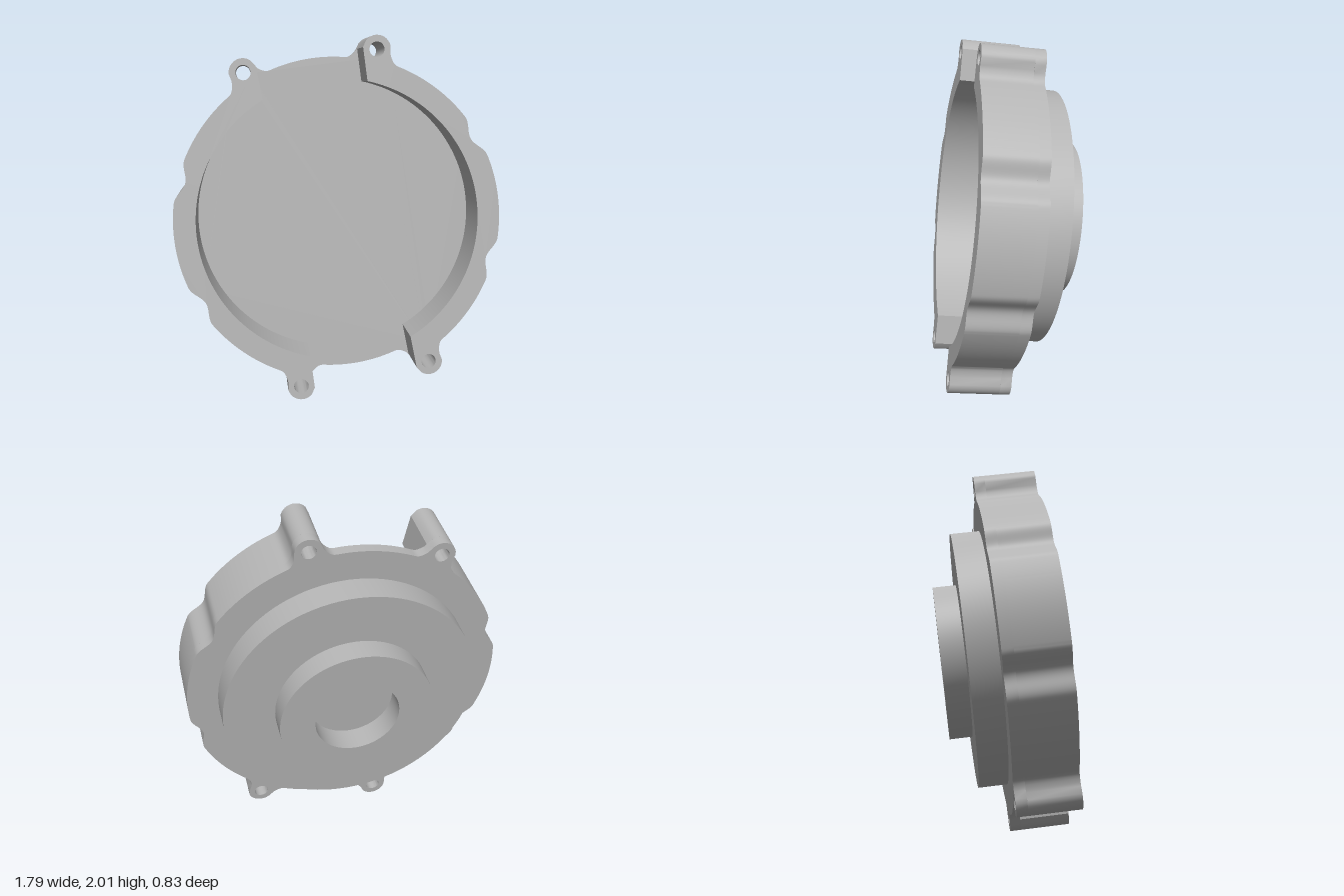
import * as THREE from 'three';
import { toCreasedNormals } from 'three/addons/utils/BufferGeometryUtils.js';

const RAD = Math.PI / 180;
const R = 0.885, INNER = 0.765;            // housing radii
const LUG_R = 0.94, LUG = 0.075, BORE = 0.04; // screw lugs
const FLOOR = 0.06, DEPTH = 0.34;
const lugs = [77, 122, 257, 302];
const notches = [31, 165, 211, 345];
const LUG_HALF = Math.asin(LUG / LUG_R) / RAD;

const gap = (a, b) => Math.abs(((a - b + 540) % 360 + 360) % 360 - 180);
const polar = (r, deg) => new THREE.Vector2(r * Math.cos(deg * RAD), r * Math.sin(deg * RAD));

// Outer outline: a circle with filleted lugs and shallow scallops
function outline(deg) {
  for (const l of lugs) {
    const d = gap(deg, l), s = LUG_R * Math.sin(d * RAD);
    if (d < LUG_HALF) return LUG_R * Math.cos(d * RAD) + Math.sqrt(Math.max(0, LUG * LUG - s * s));
    if (d < LUG_HALF + 4) return R + (LUG_R - 0.003 - R) * Math.pow(1 - (d - LUG_HALF) / 4, 2.2);
  }
  for (const n of notches) {
    const d = gap(deg, n);
    if (d < 8) return R - 0.042 * Math.cos(d / 8 * Math.PI / 2) ** 2;
  }
  return R;
}

function arc(radius, from, to, steps) {
  const pts = [];
  for (let i = 0; i <= steps; i++) {
    const a = from + (to - from) * i / steps;
    pts.push(polar(radius(a), a));
  }
  return pts;
}

function extrude(points, lugAngles, z, depth) {
  const shape = new THREE.Shape(points);
  for (const a of lugAngles) {
    const c = polar(LUG_R, a);
    shape.holes.push(new THREE.Path().absarc(c.x, c.y, BORE, 0, Math.PI * 2, true));
  }
  const geo = new THREE.ExtrudeGeometry(shape, { depth, bevelEnabled: false, curveSegments: 16 });
  geo.translate(0, 0, z);
  return toCreasedNormals(geo, 0.5);
}

export function createModel() {
  const metal = new THREE.MeshStandardMaterial({ color: 0xb4b4b4 });
  metal.name = 'grey metal';
  const model = new THREE.Group();
  model.name = 'housingCover';
  const add = (name, geo) => {
    const mesh = new THREE.Mesh(geo, metal);
    mesh.name = name;
    model.add(mesh);
    return mesh;
  };

  // Thin floor plate with all four lugs
  const rim = arc(outline, 0, 360, 480);
  rim.pop();
  add('floorPlate', extrude(rim, lugs, 0, FLOOR));

  // One side wall between two lugs, turned half round for the other
  const wall = [
    ...arc(outline, -58 - LUG_HALF, 77 + LUG_HALF, 220),
    ...arc(() => INNER, 77.9, -58.8, 90),
  ];
  const wallGeo = extrude(wall, [77, 302], FLOOR, DEPTH - FLOOR);
  add('leftWall', wallGeo);
  add('rightWall', wallGeo).rotation.z = Math.PI;

  // Stepped back with a blind bore
  const profile = [[0.716, 0], [0.716, 0.16], [0.43, 0.16], [0.43, 0.289], [0.235, 0.289], [0.235, 0.15], [0, 0.15]];
  const back = new THREE.LatheGeometry(profile.map(p => new THREE.Vector2(...p)), 96);
  back.rotateX(-Math.PI / 2);
  add('steppedBack', toCreasedNormals(back, 0.5));

  // The whole cover leans slightly back and to its left
  const axis = new THREE.Vector3(0.0653, 0.1296, 0.9893).normalize();
  model.quaternion.setFromUnitVectors(new THREE.Vector3(0, 0, 1), axis);
  model.position.set(-0.011, 0.982, -0.069);

  const root = new THREE.Group();
  root.name = 'cover';
  root.add(model);
  return root;
}
